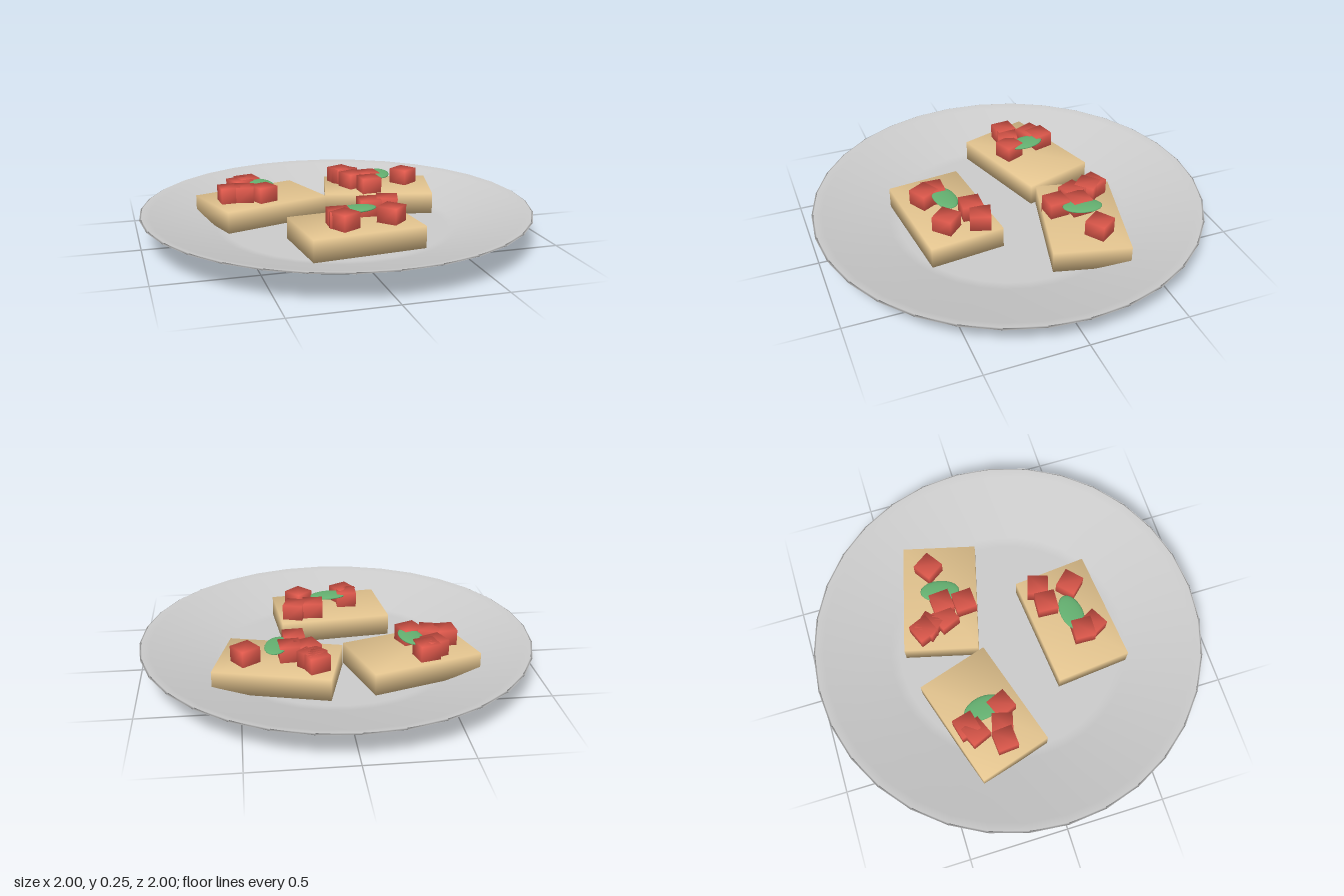
import * as THREE from 'three';
import { mergeVertices } from 'three/addons/utils/BufferGeometryUtils.js';

const material = (color) => new THREE.MeshStandardMaterial({ color });

// Box whose corners share normals, giving a soft, pillowy shading
function softBox(w, h, d) {
  const g = new THREE.BoxGeometry(w, h, d);
  g.deleteAttribute('normal');
  g.deleteAttribute('uv');
  const merged = mergeVertices(g);
  merged.computeVertexNormals();
  return merged;
}

export function createModel() {
  const model = new THREE.Group();
  const plateMat = material(0xcccccc);
  plateMat.side = THREE.DoubleSide;
  const breadMat = material(0xe3c48f);
  const tomatoMat = material(0xe0594c);
  const leafMat = material(0x64b070);

  const add = (parent, name, geometry, mat, x, y, z, turn = 0) => {
    const mesh = new THREE.Mesh(geometry, mat);
    mesh.name = name;
    mesh.position.set(x, y, z);
    mesh.rotation.y = turn;
    parent.add(mesh);
    return mesh;
  };

  // Plate: underside, rim, then the shallow dished top
  const profile = [
    [0, 0], [0.61, 0], [0.63, 0.025], [0.95, 0.133], [1, 0.15],
    [0.99, 0.155], [0.95, 0.145], [0.62, 0.052], [0.57, 0.048], [0, 0.048],
  ].map(([r, y]) => new THREE.Vector2(r, y));
  add(model, 'plate', new THREE.LatheGeometry(profile, 32), plateMat, 0, 0, 0);

  const breadGeo = softBox(0.573, 0.11, 0.38);
  const cubeGeo = softBox(0.104, 0.1, 0.104);
  const leafGeo = new THREE.SphereGeometry(1, 20, 12);

  // Each toast: centre and turn; leaf [x, z, turn]; tomato cubes [x, z, turn]
  const toasts = [
    {
      x: -0.35, z: -0.235, turn: 0.3, leaf: [-0.345, -0.235, 1.75],
      cubes: [[-0.406, -0.337, 0.25], [-0.449, -0.302, 0.4], [-0.526, -0.176, 0.08],
        [-0.45, -0.167, -0.25], [-0.353, -0.144, 0.4]],
    },
    {
      x: 0.31, z: -0.275, turn: -0.25, leaf: [0.318, -0.27, 1.35],
      cubes: [[0.139, -0.406, 0.4], [0.155, -0.374, 0.75], [0.171, -0.283, 0.4],
        [0.257, -0.278, 0.08], [0.23, -0.166, 0.06], [0.47, -0.292, 0.6]],
    },
    {
      x: 0, z: 0.343, turn: 0.096, leaf: [0.005, 0.342, 0.12],
      cubes: [[0.1, 0.237, -0.06], [0.198, 0.222, -0.3], [0.166, 0.385, 0.75],
        [-0.095, 0.372, -0.03], [-0.08, 0.425, 0.5]],
    },
  ];

  for (const { x, z, turn, leaf, cubes } of toasts) {
    const toast = new THREE.Group();
    toast.name = 'toast';
    add(toast, 'bread', breadGeo, breadMat, x, 0.11, z, turn);
    for (const [cx, cz, ct] of cubes) add(toast, 'tomatoCube', cubeGeo, tomatoMat, cx, 0.195, cz, ct);
    // Flattened oval leaf resting among the cubes
    add(toast, 'leaf', leafGeo, leafMat, leaf[0], 0.23, leaf[1], leaf[2]).scale.set(0.1, 0.012, 0.058);
    model.add(toast);
  }
  return model;
}
